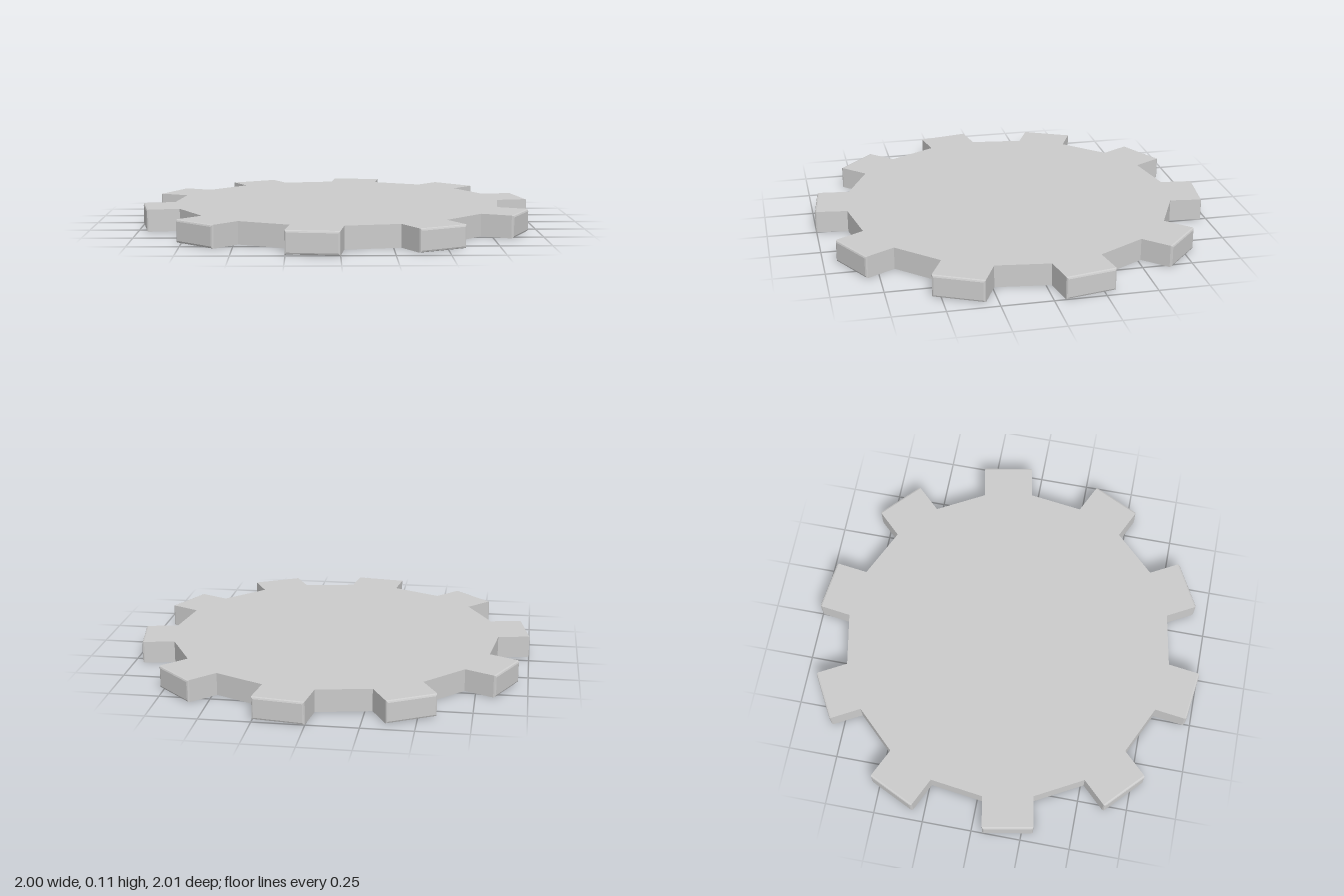
import * as THREE from 'three';

const TEETH = 10;
const HEIGHT = 0.112;
const PHASE = THREE.MathUtils.degToRad(10.6);
const ROOT_RADIUS = 0.841;   // where tooth flanks meet the disc
const HALF_WIDTH = 0.128;    // half width of a tooth
const TIP = 0.996;           // distance from centre to the tip face
const BEVEL = 0.01;          // rounding around the tip face

// Faceted disc: two corners per tooth, straight runs between them
function discGeometry() {
  const half = Math.asin(HALF_WIDTH / ROOT_RADIUS);
  const points = [];
  for (let i = 0; i < TEETH; i++) {
    const a = PHASE + (i * Math.PI * 2) / TEETH;
    for (const s of [-half, half]) {
      points.push(new THREE.Vector2(Math.cos(a + s), Math.sin(a + s)).multiplyScalar(ROOT_RADIUS));
    }
  }
  const geometry = new THREE.ExtrudeGeometry(new THREE.Shape(points), { depth: HEIGHT, bevelEnabled: false });
  return geometry.rotateX(-Math.PI / 2);
}

// Parallel-sided tooth along +x whose outer end rounds in towards the tip face
function toothGeometry() {
  const start = Math.sqrt(ROOT_RADIUS ** 2 - HALF_WIDTH ** 2);
  const c = BEVEL * (1 - Math.SQRT1_2);
  const rows = [[start, 0], [TIP - BEVEL, 0], [TIP - c, c], [TIP, BEVEL]];
  const geometry = new THREE.BoxGeometry(3, HEIGHT, HALF_WIDTH * 2, 3, 1, 1);
  const p = geometry.attributes.position;
  for (let i = 0; i < p.count; i++) {
    const [x, inset] = rows[Math.round(p.getX(i) + 1.5)];
    const y = p.getY(i), z = p.getZ(i);
    p.setXYZ(i, x, y - Math.sign(y) * inset + HEIGHT / 2, z - Math.sign(z) * inset);
  }
  geometry.computeVertexNormals();
  return geometry;
}

export function createModel() {
  const group = new THREE.Group();
  group.name = 'gear';
  const material = new THREE.MeshStandardMaterial({ color: 0xcccccc, flatShading: true });

  const disc = new THREE.Mesh(discGeometry(), material);
  disc.name = 'disc';
  group.add(disc);

  // Ring of teeth
  const tooth = toothGeometry();
  for (let i = 0; i < TEETH; i++) {
    const mesh = new THREE.Mesh(tooth, material);
    mesh.name = `tooth${i + 1}`;
    mesh.rotation.y = PHASE + (i * Math.PI * 2) / TEETH;
    group.add(mesh);
  }
  return group;
}
